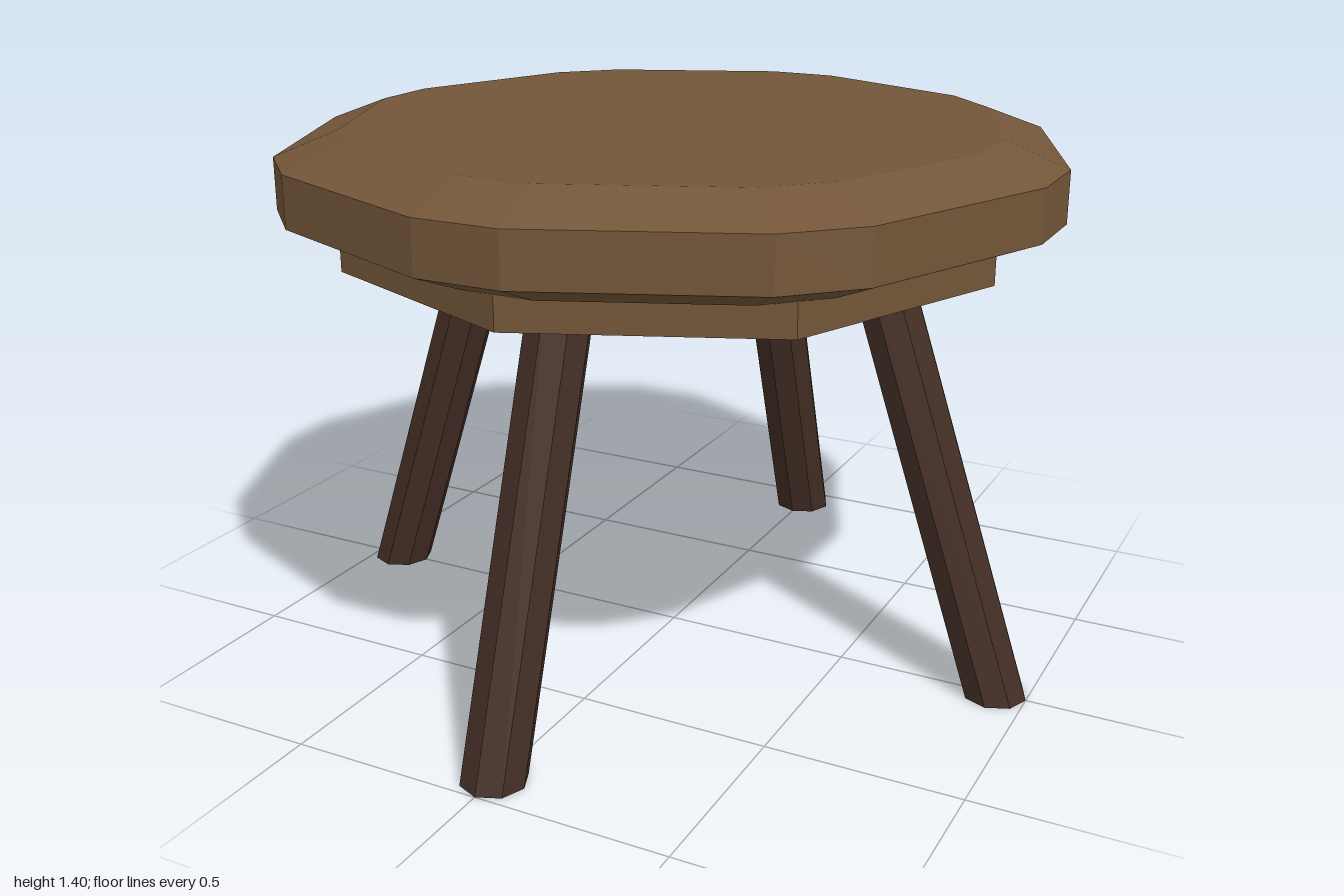
import * as THREE from 'three';

const seatWood = new THREE.MeshStandardMaterial({ color: 0x735639, flatShading: true });
seatWood.name = 'seat wood';
const legWood = new THREE.MeshStandardMaterial({ color: 0x432e25, flatShading: true });
legWood.name = 'dark leg wood';

// Closed faceted solid through rings of [x, y, z] points, listed bottom to top
function loft(rings) {
  const pos = [];
  const tri = (a, b, c) => pos.push(...a, ...b, ...c);
  const n = rings[0].length;
  for (let r = 0; r < rings.length - 1; r++) {
    for (let i = 0; i < n; i++) {
      const j = (i + 1) % n;
      const [a, b, c, d] = [rings[r][i], rings[r][j], rings[r + 1][j], rings[r + 1][i]];
      tri(a, d, c);
      tri(a, c, b);
    }
  }
  const low = rings[0], high = rings[rings.length - 1];
  for (let i = 1; i < n - 1; i++) {
    tri(low[0], low[i], low[i + 1]);
    tri(high[0], high[i + 1], high[i]);
  }
  const g = new THREE.BufferGeometry();
  g.setAttribute('position', new THREE.Float32BufferAttribute(pos, 3));
  g.computeVertexNormals();
  return g;
}

// Horizontal octagon with corners on the axes; clockwise seen from above
function octagon(radius, y, cx = 0, cz = 0) {
  return Array.from({ length: 8 }, (_, i) => {
    const a = (i * Math.PI) / 4;
    return [cx + radius * Math.cos(a), y, cz + radius * Math.sin(a)];
  });
}

// Octagon with every corner cut off, giving sixteen alternating long and short sides
function cutOctagon(scale, y) {
  const r = Math.hypot(0.983, 0.108) * scale, half = Math.atan2(0.108, 0.983);
  return Array.from({ length: 16 }, (_, i) => {
    const a = (Math.floor(i / 2) * Math.PI) / 4 + (i % 2 ? half : -half);
    return [r * Math.cos(a), y, r * Math.sin(a)];
  });
}

export function createModel() {
  const group = new THREE.Group();
  group.name = 'stool';
  const add = (name, geometry, material) => {
    const mesh = new THREE.Mesh(geometry, material);
    mesh.name = name;
    group.add(mesh);
  };

  // Thick seat, bevelled above and below
  add('seat', loft([
    cutOctagon(0.85, 1.15), cutOctagon(1, 1.21), cutOctagon(1, 1.34), cutOctagon(0.84, 1.4),
  ]), seatWood);

  // Octagonal slab under the seat
  add('underSeat', loft([octagon(0.85, 1.07), octagon(0.85, 1.16)]), seatWood);

  // Four splayed legs, cut level at the floor
  ['leftLeg', 'frontLeg', 'rightLeg', 'backLeg'].forEach((name, i) => {
    const x = [1, 0, -1, 0][i], z = [0, 1, 0, -1][i];
    add(name, loft([
      octagon(0.082, 0, x * 0.918, z * 0.918),
      octagon(0.082, 1.1, x * 0.555, z * 0.555),
    ]), legWood);
  });
  return group;
}
